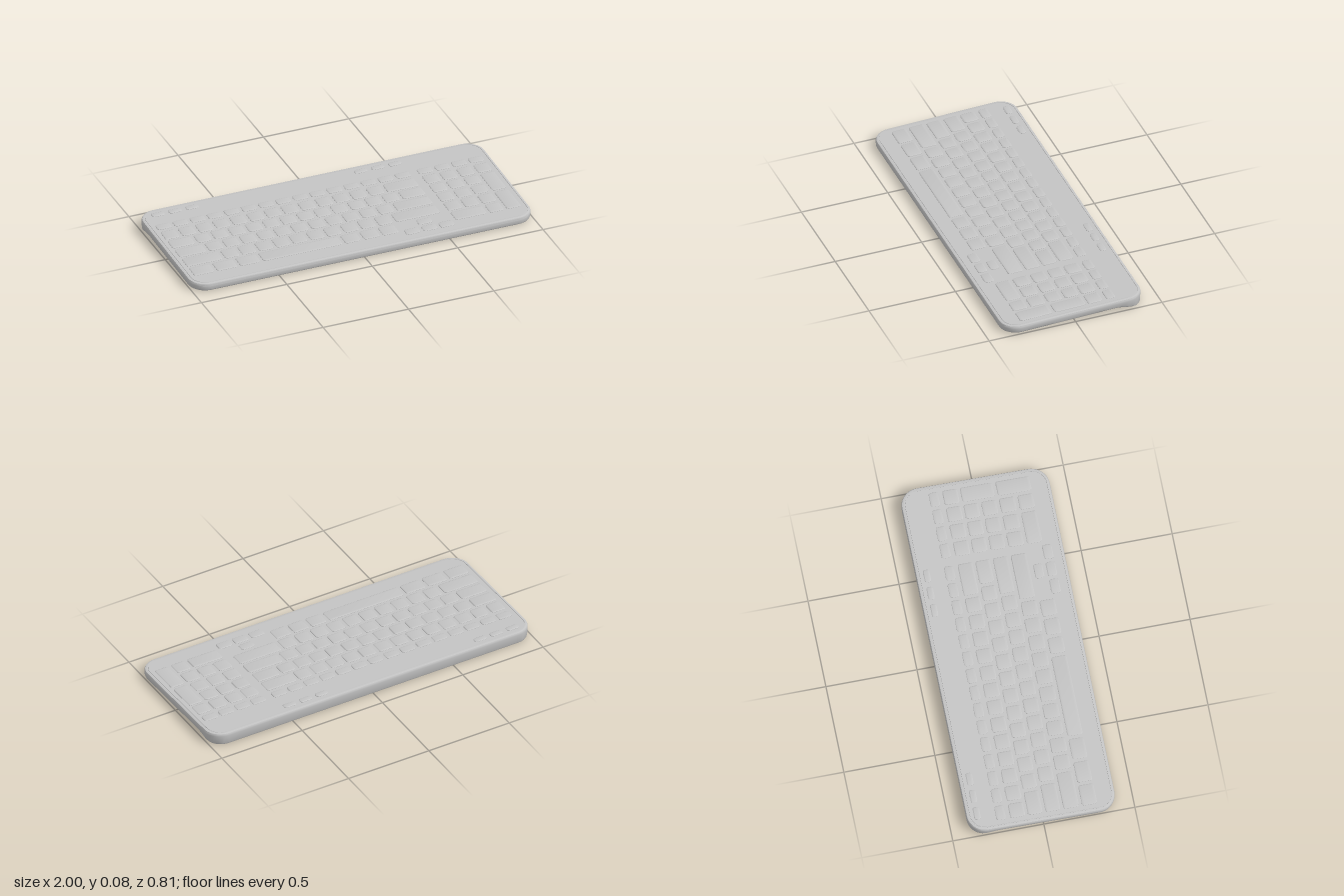
import * as THREE from 'three';
import { toCreasedNormals } from 'three/addons/utils/BufferGeometryUtils.js';

const HALF_DEPTH = 0.407;
const plastic = new THREE.MeshStandardMaterial({ color: 0xc4c4c4 });
plastic.name = 'grey plastic';

// Sloping deck, and an underside that drops to a foot along the back
const deck = (z) => 0.0465 + (HALF_DEPTH - z) * 0.032;
const underside = (z) => {
  const foot = THREE.MathUtils.smoothstep(-z, 0.23, 0.39);
  return (0.002 + (HALF_DEPTH - z) * 0.0325) * (1 - foot);
};

// Stacks rounded-rectangle rings, each [inset, heightAt(z)], and caps both ends
function loft(cx, cz, hw, hd, radius, arcSteps, sideSteps, rings) {
  const loops = rings.map(([inset, heightAt]) => {
    const half = [];
    const r = radius - inset;
    const corner = (sign, a) => half.push([hw - radius + r * Math.cos(a), sign * (hd - radius) + r * Math.sin(a)]);
    for (let i = 0; i <= arcSteps; i++) corner(1, (Math.PI / 2) * (1 - i / arcSteps));
    for (let i = 1; i < sideSteps; i++) half.push([hw - inset, (hd - radius) * (1 - (2 * i) / sideSteps)]);
    for (let i = 0; i <= arcSteps; i++) corner(-1, (-Math.PI / 2) * (i / arcSteps));
    const left = half.map(([x, z]) => [-x, z]).reverse();
    return [...half, ...left].map(([x, z]) => [cx + x, heightAt(cz + z), cz + z]);
  });
  const n = loops[0].length;
  const positions = [];
  const quad = (a, b, c, d) => positions.push(...a, ...b, ...c, ...a, ...c, ...d);
  for (let k = 0; k + 1 < loops.length; k++) {
    for (let i = 0; i < n; i++) {
      const j = (i + 1) % n;
      quad(loops[k][i], loops[k][j], loops[k + 1][j], loops[k + 1][i]);
    }
  }
  const bottom = loops[0];
  const top = loops[loops.length - 1];
  for (let i = 0; i + 1 < n / 2; i++) {
    quad(top[i], top[i + 1], top[n - 2 - i], top[n - 1 - i]);
    quad(bottom[n - 1 - i], bottom[n - 2 - i], bottom[i + 1], bottom[i]);
  }
  const geometry = new THREE.BufferGeometry();
  geometry.setAttribute('position', new THREE.Float32BufferAttribute(positions, 3));
  return toCreasedNormals(geometry, 0.6);
}

function addPart(group, name, geometry) {
  const mesh = new THREE.Mesh(geometry, plastic);
  mesh.name = name;
  group.add(mesh);
}

// Low cap with bevelled edges, following the slope of the deck
function addKey(group, name, x0, x1, z0, z1) {
  const at = (dy) => (z) => deck(z) + dy;
  addPart(group, name, loft(
    (x0 + x1) / 2, (z0 + z1) / 2, (x1 - x0) / 2, (z1 - z0) / 2, 0.013, 3, 1,
    [[0, at(-0.004)], [0, at(0.0015)], [0.002, at(0.0035)], [0.005, at(0.0042)]]
  ));
}

export function createModel() {
  const model = new THREE.Group();
  model.name = 'keyboard';

  // Case with rounded edges and a fine groove just inside the rim
  const low = (dy) => (z) => underside(z) + dy;
  const high = (dy) => (z) => deck(z) + dy;
  addPart(model, 'case', loft(0, 0, 1, HALF_DEPTH, 0.1, 10, 32, [
    [0.014, low(0)], [0.008, low(0.001)], [0.004, low(0.004)], [0.002, low(0.009)],
    [0, high(-0.016)], [0.001, high(-0.007)], [0.004, high(-0.002)], [0.009, high(0)],
    [0.016, high(0)], [0.017, high(-0.002)], [0.02, high(-0.002)], [0.021, high(0)],
  ]));

  // Main block: each row is a list of key widths in units of one key
  const unit = 0.1;
  const gap = 0.009;
  const left = -0.965;
  const ones = (count) => Array(count).fill(1);
  const rows = [
    { name: 'functionKey', z: [-0.25, -0.198], widths: ones(15) },
    { name: 'numberKey', z: [-0.175, -0.092], widths: [...ones(13), 2] },
    { name: 'upperLetterKey', z: [-0.078, 0.003], widths: [1.5, ...ones(12), 1.5] },
    { name: 'homeLetterKey', z: [0.019, 0.101], widths: [1.75, ...ones(11), 2.25] },
    { name: 'lowerLetterKey', z: [0.117, 0.203], widths: [2.25, ...ones(10), 2.75] },
    { name: 'bottomRowKey', z: [0.219, 0.303], widths: [1.35, 1.35, 1.35, 4.8, 1.1, 1.1, 1.1] },
  ];
  const mainKeys = new THREE.Group();
  mainKeys.name = 'mainKeys';
  for (const { name, z, widths } of rows) {
    let x = left;
    for (const w of widths) {
      addKey(mainKeys, name, x + gap, x + w * unit - gap, ...z);
      x += w * unit;
    }
  }
  model.add(mainKeys);

  // Arrow cluster, dropped slightly towards the front edge
  const arrows = new THREE.Group();
  arrows.name = 'arrowKeys';
  addKey(arrows, 'upArrowKey', 0.37, 0.452, 0.225, 0.275);
  for (let i = 0; i < 3; i++) addKey(arrows, 'arrowKey', 0.27 + i * unit, 0.352 + i * unit, 0.293, 0.346);
  model.add(arrows);

  // Number pad: [column, row, columns wide, rows tall]
  const pad = new THREE.Group();
  pad.name = 'numberPad';
  const padCells = [[3, 2, 1, 2], [3, 4, 1, 2], [0, 5, 2, 1], [2, 5, 1, 1]];
  for (let c = 0; c < 4; c++) padCells.push([c, 0, 1, 1], [c, 1, 1, 1]);
  for (let c = 0; c < 3; c++) for (let r = 2; r < 5; r++) padCells.push([c, r, 1, 1]);
  for (const [c, r, wide, tall] of padCells) {
    const x = 0.565 + c * unit;
    addKey(pad, 'padKey', x + gap, x + wide * unit - gap, rows[r].z[0], rows[r + tall - 1].z[1]);
  }
  model.add(pad);

  // Two sets of three small buttons along the back
  const buttons = new THREE.Group();
  buttons.name = 'shortcutButtons';
  for (const start of [-0.932, 0.255]) {
    for (let i = 0; i < 3; i++) addKey(buttons, 'shortcutButton', start + i * unit, start + 0.073 + i * unit, -0.366, -0.33);
  }
  model.add(buttons);

  return model;
}
